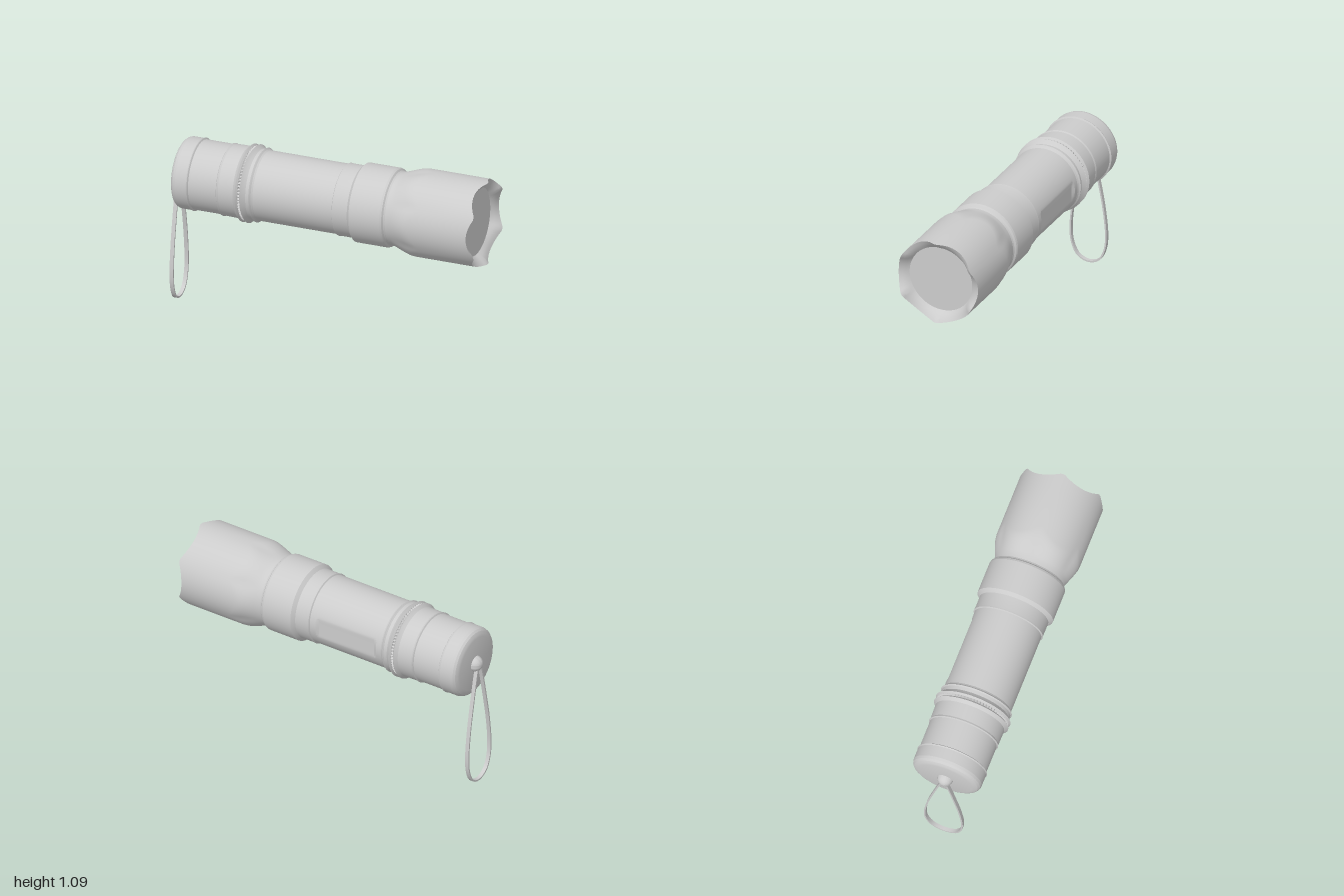
import * as THREE from 'three';
import { toCreasedNormals, mergeVertices } from 'three/addons/utils/BufferGeometryUtils.js';

const AXIS_Y = 0.825;
const material = new THREE.MeshStandardMaterial({ color: 0xcccccc, side: THREE.DoubleSide });

// Revolve [x, radius] points about the x axis; reshape(v) may move each vertex
function turned(name, profile, reshape, crease = 0.3) {
  let geo = new THREE.LatheGeometry(profile.map(([x, r]) => new THREE.Vector2(r, x)), 120);
  geo.rotateZ(-Math.PI / 2);
  if (reshape) {
    const pos = geo.attributes.position;
    const v = new THREE.Vector3();
    for (let i = 0; i < pos.count; i++) {
      reshape(v.fromBufferAttribute(pos, i));
      pos.setXYZ(i, v.x, v.y, v.z);
    }
  }
  geo.deleteAttribute('normal');
  geo.deleteAttribute('uv');
  geo = toCreasedNormals(mergeVertices(geo, 1e-5), crease);
  const mesh = new THREE.Mesh(geo, material);
  mesh.name = name;
  return mesh;
}

// 1 in the middle of each of the six scallops, 0 at the points between them
function scallop(v) {
  const step = Math.PI / 3;
  const a = Math.atan2(v.y, v.z) / step;
  const t = (a - Math.round(a)) * 2 / 0.92;
  return Math.max(0, 1 - t * t);
}

export function createModel() {
  const model = new THREE.Group();
  model.name = 'flashlight';
  const torch = new THREE.Group();
  torch.name = 'torch';
  torch.position.y = AXIS_Y;
  model.add(torch);

  // Tail cap with rounded end and stepped bands
  torch.add(turned('tailCap', [
    [-0.955, 0], [-0.955, 0.17], [-0.951, 0.187], [-0.943, 0.202], [-0.931, 0.212], [-0.915, 0.217],
    [-0.845, 0.217], [-0.838, 0.221], [-0.832, 0.212],
    [-0.655, 0.212], [-0.65, 0.22], [-0.64, 0.216], [-0.545, 0.218],
    [-0.535, 0.226], [-0.525, 0.236], [-0.515, 0.225], [-0.512, 0.217],
  ]));

  // Barrel with a shallow flat cut on its back side
  torch.add(turned('barrel', [
    [-0.512, 0.217], [-0.502, 0.217], [-0.5, 0.225], [-0.49, 0.237], [-0.478, 0.225], [-0.465, 0.216],
    [-0.445, 0.218], [-0.438, 0.225], [-0.43, 0.217], [-0.42, 0.212],
    [-0.385, 0.212], [-0.365, 0.212], [0.025, 0.212], [0.045, 0.212],
    [0.085, 0.212], [0.09, 0.22], [0.1, 0.218], [0.185, 0.218], [0.192, 0.226], [0.205, 0.24],
    [0.4, 0.24], [0.412, 0.236], [0.42, 0.226], [0.43, 0.222],
  ], (v) => {
    if (v.x > -0.37 && v.x < 0.03) v.z = Math.max(v.z, -0.201);
  }));

  // Flared head with six scallops round the rim and a sloped inner lip
  torch.add(turned('head', [
    [0.43, 0.222], [0.45, 0.224], [0.48, 0.231], [0.52, 0.242], [0.57, 0.254], [0.61, 0.262], [0.65, 0.265],
    [0.9, 0.265], [1, 0.265], [0.985, 0.246], [0.96, 0.225], [0.93, 0.208],
  ], (v) => {
    const s = scallop(v);
    if (v.x > 0.94) v.x -= 0.036 * s * (v.x - 0.93) / 0.07;
    else if (v.x > 0.45 && v.x < 0.66) v.x = 0.45 + (v.x - 0.45) * (1 - 0.32 * s);
  }));

  // Flat lens
  const lens = new THREE.Mesh(new THREE.CircleGeometry(0.209, 96), material);
  lens.name = 'lens';
  lens.rotation.y = Math.PI / 2;
  lens.position.x = 0.931;
  torch.add(lens);

  // Finely toothed ring in the groove between cap and barrel
  const teeth = new THREE.Shape();
  const count = 72;
  for (let i = 0; i < count * 2; i++) {
    const a = i * Math.PI / count;
    const r = i % 2 ? 0.227 : 0.216;
    if (i) teeth.lineTo(r * Math.cos(a), r * Math.sin(a));
    else teeth.moveTo(r, 0);
  }
  const ring = new THREE.Mesh(new THREE.ExtrudeGeometry(teeth, { depth: 0.014, bevelEnabled: false }), material);
  ring.name = 'knurledRing';
  ring.rotation.y = Math.PI / 2;
  ring.position.x = -0.514;
  torch.add(ring);

  // Domed lug that holds the strap
  torch.add(turned('strapLug', [
    [-1, 0], [-0.998, 0.015], [-0.992, 0.027], [-0.982, 0.038], [-0.968, 0.046], [-0.95, 0.05],
  ], null, 0.8));

  // Wrist strap: flat band swept round a teardrop loop
  const half = [[0.012, 0.82], [0.028, 0.76], [0.07, 0.56], [0.102, 0.385], [0.119, 0.2], [0.107, 0.105], [0.068, 0.033]];
  const path = [
    ...half.map(([z, y]) => new THREE.Vector3(0, y, z)),
    new THREE.Vector3(0, 0.008, 0),
    ...half.slice().reverse().map(([z, y]) => new THREE.Vector3(0, y, -z)),
  ];
  const curve = new THREE.CatmullRomCurve3(path);
  const steps = 64;
  const verts = [];
  const index = [];
  for (let i = 0; i <= steps; i++) {
    const p = curve.getPointAt(i / steps);
    const t = curve.getTangentAt(i / steps);
    for (const [w, h] of [[-1, -1], [1, -1], [1, 1], [-1, 1]]) {
      verts.push(-0.974 + w * 0.012, p.y - t.z * h * 0.005, p.z + t.y * h * 0.005);
    }
    if (i === steps) break;
    for (let k = 0; k < 4; k++) {
      const a = i * 4 + k;
      const b = i * 4 + (k + 1) % 4;
      index.push(a, b, b + 4, a, b + 4, a + 4);
    }
  }
  const band = new THREE.BufferGeometry();
  band.setAttribute('position', new THREE.Float32BufferAttribute(verts, 3));
  band.setIndex(index);
  const strap = new THREE.Mesh(toCreasedNormals(band, 0.6), material);
  strap.name = 'wristStrap';
  model.add(strap);

  return model;
}
